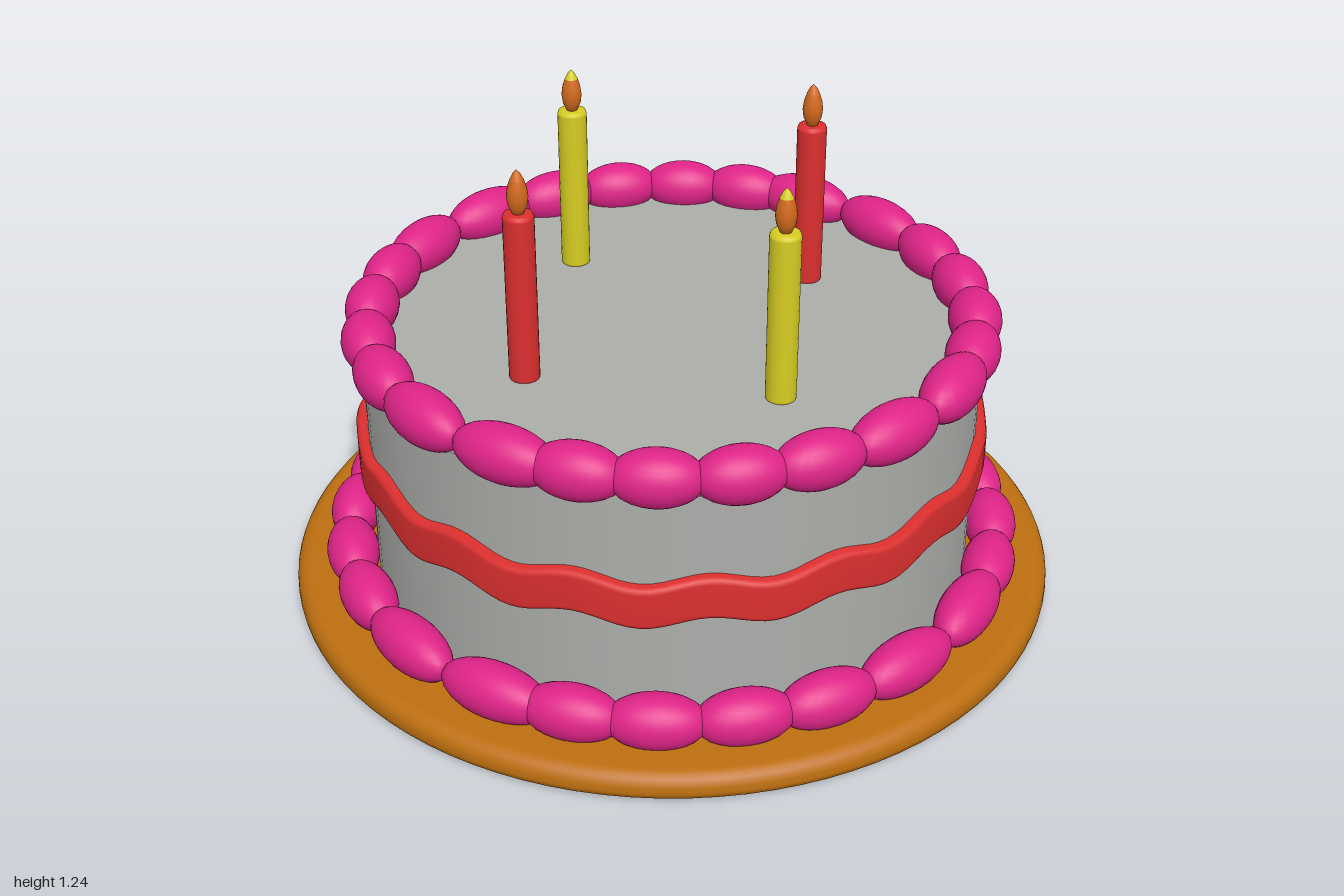
import * as THREE from 'three';

const mat = (name, color) => Object.assign(new THREE.MeshStandardMaterial({ color }), { name });

export function createModel() {
  const cake = new THREE.Group();
  cake.name = 'birthdayCake';
  const board = mat('board brown', 0xbd6f10);
  const icing = mat('icing grey', 0xacaeaa);
  const pink = mat('piped pink', 0xdf2488);
  const red = mat('red', 0xdc2f2f);
  const yellow = mat('yellow', 0xd6cd22);
  const orange = mat('flame orange', 0xd26a1c);

  const add = (parent, name, geometry, material) => {
    const mesh = new THREE.Mesh(geometry, material);
    mesh.name = name;
    parent.add(mesh);
    return mesh;
  };
  // Lathe from [radius, height] pairs, listed from bottom to top
  const lathe = (pts, segments) =>
    new THREE.LatheGeometry(pts.map(([r, y]) => new THREE.Vector2(r, y)), segments);

  // Board with a flat underside and rounded upper rim
  const rim = [[0, 0], [0.985, 0], [0.985, 0], [0.998, 0.008], [1, 0.02]];
  for (let i = 1; i <= 6; i++) {
    const a = (i / 6) * Math.PI / 2;
    rim.push([0.96 + 0.04 * Math.cos(a), 0.025 + 0.041 * Math.sin(a)]);
  }
  rim.push([0.9, 0.066], [0, 0.066]);
  add(cake, 'board', lathe(rim, 96), board);

  // Cake body
  const body = add(cake, 'body', new THREE.CylinderGeometry(0.785, 0.785, 0.63, 96), icing);
  body.position.y = 0.375;

  // Piped borders: each quarter repeats six beads, longest next to the joints
  const beadAngles = [9.5, 23, 36.5, 50.5, 64.5, 80.5];
  const beadLengths = [0.135, 0.115, 0.112, 0.112, 0.118, 0.135];
  const bead = new THREE.SphereGeometry(1, 24, 16);
  const border = (name, radius, y, scale) => {
    const ring = new THREE.Group();
    ring.name = name;
    for (let q = 0; q < 4; q++) {
      beadAngles.forEach((deg, i) => {
        const a = THREE.MathUtils.degToRad(deg + q * 90);
        const m = add(ring, 'bead', bead, pink);
        m.position.set(radius * Math.sin(a), y, radius * Math.cos(a));
        m.rotation.y = a;
        m.scale.set(beadLengths[i] * scale, 0.07, 0.068);
      });
    }
    cake.add(ring);
  };
  border('upperBorder', 0.765, 0.727, 1);
  border('lowerBorder', 0.85, 0.11, 1.1);

  // Wavy ribbon: a rounded band whose height follows a sine around the cake
  const section = [[0.775, -0.056], [0.8, -0.056], [0.809, -0.052], [0.813, -0.042],
    [0.813, 0.042], [0.809, 0.052], [0.8, 0.056], [0.775, 0.056]];
  const ribbon = lathe(section, 192);
  const p = ribbon.attributes.position;
  for (let i = 0; i < p.count; i++) {
    const a = Math.atan2(p.getX(i), p.getZ(i));
    p.setY(i, p.getY(i) + 0.41 + 0.015 * Math.cos(16 * a));
  }
  add(cake, 'ribbon', ribbon, red);

  // Candles with rounded ends and teardrop flames
  const stick = lathe([[0, 0.68], [0.028, 0.68], [0.035, 0.685], [0.038, 0.694],
    [0.038, 0.694], [0.038, 1.12], [0.038, 1.12], [0.035, 1.128], [0.028, 1.13], [0, 1.13]], 24);
  const flameLow = [[0, 1.118], [0.014, 1.13], [0.023, 1.15], [0.026, 1.172], [0.023, 1.195], [0.0165, 1.215]];
  const flameTip = [[0.0165, 1.215], [0.009, 1.23], [0, 1.24]];
  const flameGeo = lathe(flameLow, 20);
  const tipGeo = lathe(flameTip, 20);
  for (let i = 0; i < 4; i++) {
    const candle = new THREE.Group();
    candle.name = 'candle';
    const a = Math.atan2(-0.115, 0.427) + i * Math.PI / 2;
    candle.position.set(0.442 * Math.sin(a), 0, 0.442 * Math.cos(a));
    const isYellow = i % 2 === 1;
    add(candle, 'stick', stick, isYellow ? yellow : red);
    add(candle, 'flame', flameGeo, orange);
    add(candle, 'flameTip', tipGeo, isYellow ? yellow : orange);
    cake.add(candle);
  }
  return cake;
}
